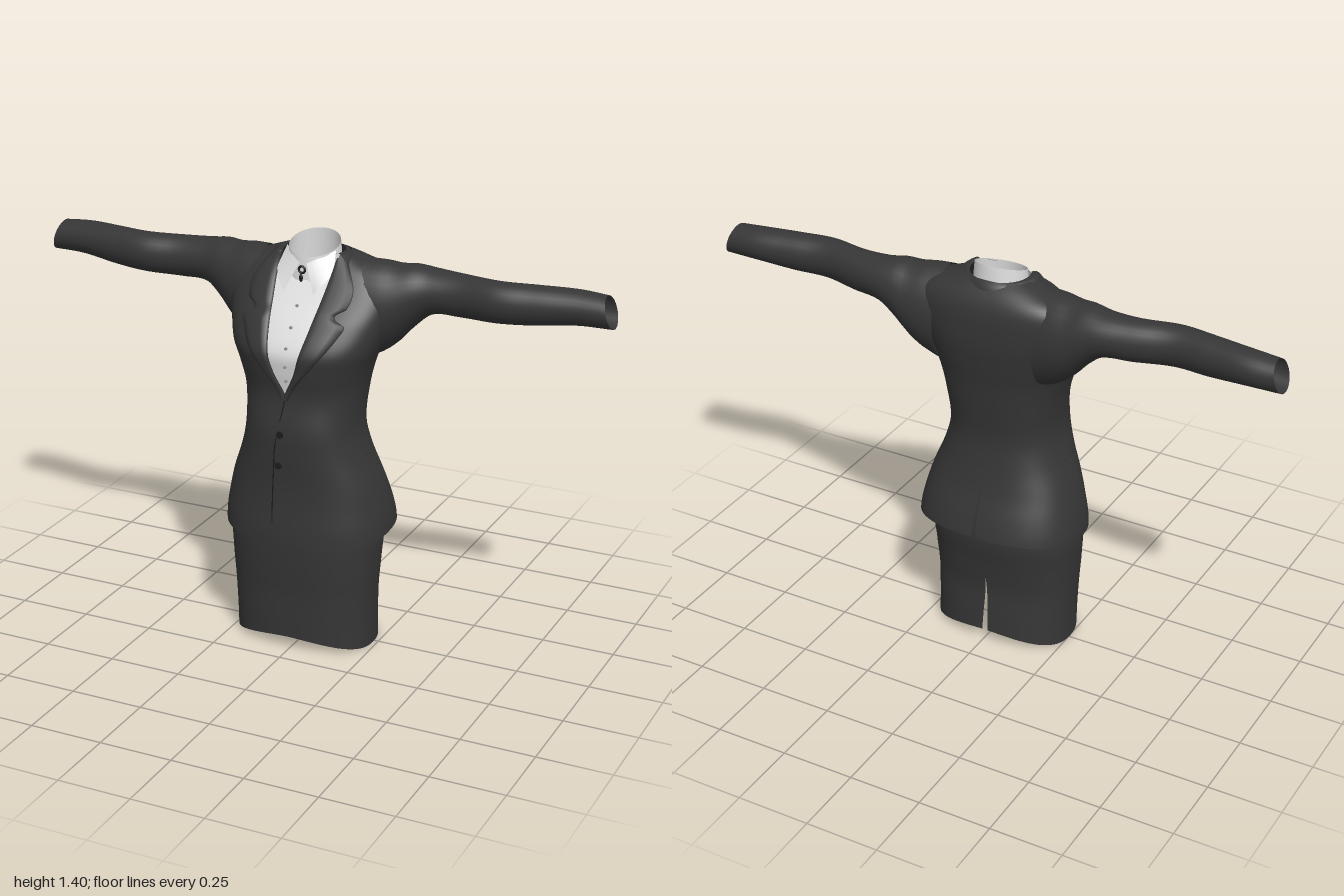
import * as THREE from 'three';

const mat = (name, color) => Object.assign(
  new THREE.MeshStandardMaterial({ color, side: THREE.DoubleSide }), { name });

// smooth interpolation through rows of [key, value, value, ...]
function sample(rows, t) {
  const last = rows.length - 1;
  t = Math.min(Math.max(t, rows[0][0]), rows[last][0]);
  let i = 0;
  while (i < last - 1 && t > rows[i + 1][0]) i++;
  const a = rows[i], b = rows[i + 1], h = b[0] - a[0], s = (t - a[0]) / h;
  const p = rows[Math.max(i - 1, 0)], q = rows[Math.min(i + 2, last)];
  return a.slice(1).map((v, k) => {
    const w = b[k + 1];
    const m0 = (w - p[k + 1]) / (b[0] - p[0]) * h, m1 = (q[k + 1] - v) / (q[0] - a[0]) * h;
    const s2 = s * s, s3 = s2 * s;
    return (2 * s3 - 3 * s2 + 1) * v + (s3 - 2 * s2 + s) * m0 + (3 * s2 - 2 * s3) * w + (s3 - s2) * m1;
  });
}

// surface from fn(u, v) -> [x, y, z]; wrap joins u = 1 to u = 0
function surface(nu, nv, fn, wrap = false) {
  const pos = [], idx = [], cols = wrap ? nu : nu + 1;
  for (let j = 0; j <= nv; j++)
    for (let i = 0; i < cols; i++) pos.push(...fn(i / nu, j / nv));
  for (let j = 0; j < nv; j++)
    for (let i = 0; i < nu; i++) {
      const a = j * cols + i, b = j * cols + (i + 1) % cols;
      idx.push(a, b, a + cols, b, b + cols, a + cols);
    }
  const g = new THREE.BufferGeometry();
  g.setAttribute('position', new THREE.Float32BufferAttribute(pos, 3));
  g.setIndex(idx);
  g.computeVertexNormals();
  return g;
}

const lerp = THREE.MathUtils.lerp;
const spow = (v, p) => Math.sign(v) * Math.abs(v) ** p;
const P = 0.82;

// torso rows: height, half width, front z, back z
const TORSO = [
  [0.38, 0.287, 0.215, -0.222], [0.45, 0.285, 0.213, -0.217], [0.52, 0.272, 0.207, -0.198],
  [0.6, 0.25, 0.205, -0.17], [0.7, 0.212, 0.211, -0.147], [0.79, 0.192, 0.214, -0.136],
  [0.91, 0.2, 0.197, -0.148], [1.0, 0.222, 0.21, -0.158], [1.06, 0.245, 0.213, -0.168],
  [1.14, 0.27, 0.168, -0.178], [1.21, 0.285, 0.115, -0.178], [1.265, 0.28, 0.075, -0.172],
  [1.3, 0.25, 0.05, -0.158], [1.33, 0.17, 0.03, -0.135], [1.35, 0.115, 0.02, -0.11]];
// half width of the neckline opening
const OPEN = [[0.9, 0], [0.92, 0.002], [1.0, 0.04], [1.1, 0.066], [1.2, 0.084], [1.3, 0.098], [1.35, 0.1]];
const SEAM = [[0.4, -0.06], [0.46, -0.045], [0.55, -0.045], [0.75, -0.03], [0.9, 0]];

function torsoPoint(y, a) {
  const [hw, zf, zb] = sample(TORSO, y), mid = (zf + zb) / 2;
  return [hw * spow(Math.sin(a), P), y, mid + (zf - mid) * spow(Math.cos(a), P)];
}
const angleAt = (x, y) =>
  Math.asin(spow(THREE.MathUtils.clamp(x / sample(TORSO, y)[0], -0.98, 0.98), 1 / P));
const onFront = (x, y, out = 0) => {
  const p = torsoPoint(y, angleAt(x, y));
  return [x, y + out * 0.3, p[2] + out];
};

// half of the jacket body, with cutaway front hem and back vent
function jacketHalf(s) {
  return surface(44, 64, (u, v) => {
    const f = 1 - (1 - v) ** 1.4, y0 = lerp(0.42, 1.35, f);
    const start = angleAt(sample(OPEN, y0)[0] + s * sample(SEAM, y0)[0], y0);
    const vent = 0.012 * Math.max(0, (0.66 - y0) / 0.24);
    const a = lerp(start, Math.PI - vent, u), x0 = s * 0.285 * Math.sin(a);
    const notch = Math.cos(a) > 0 ? 0.055 * Math.exp(-(((x0 + 0.045) / 0.05) ** 2)) : 0;
    const p = torsoPoint(y0 + (notch - 0.03 * Math.cos(a)) * (1 - f) ** 4, a);
    return [s * p[0], p[1], p[2]];
  });
}

// sleeve rows: x, top, bottom, front z, back z
const SLEEVE = [
  [0.18, 1.335, 1.0, 0.07, -0.16], [0.24, 1.333, 1.03, 0.06, -0.165], [0.29, 1.327, 1.07, 0.045, -0.163],
  [0.34, 1.33, 1.125, 0.025, -0.158], [0.4, 1.322, 1.172, 0.005, -0.15], [0.5, 1.318, 1.178, 0, -0.13],
  [0.63, 1.319, 1.184, 0.018, -0.103], [0.75, 1.319, 1.19, 0.003, -0.118],
  [0.88, 1.317, 1.204, -0.016, -0.136], [0.985, 1.31, 1.206, -0.024, -0.132]];
function sleeve(s) {
  return surface(28, 44, (u, v) => {
    const x = lerp(0.18, 0.985, v), a = u * Math.PI * 2;
    const [t, b, zf, zb] = sample(SLEEVE, x);
    return [s * (x - 0.015 * v ** 8 * Math.sin(a)), (t + b) / 2 + (t - b) / 2 * Math.sin(a),
      (zf + zb) / 2 + (zf - zb) / 2 * Math.cos(a)];
  }, true);
}

// outer edge of the notched lapel
const LAPEL = [[0.9, 0.008], [0.95, 0.035], [1.0, 0.075], [1.07, 0.13], [1.13, 0.168], [1.155, 0.176],
  [1.172, 0.145], [1.188, 0.142], [1.2, 0.168], [1.25, 0.178], [1.3, 0.155], [1.34, 0.125]];
function lapel(s) {
  const raise = [-0.004, 0.011, 0.012, 0.012, 0.012, 0.011, -0.002];
  return surface(6, 60, (u, v) => {
    const y = lerp(0.9, 1.34, v), i = Math.round(u * 6);
    const w = THREE.MathUtils.clamp((i - 1) / 4, 0, 1);
    const p = onFront(lerp(sample(OPEN, y)[0], sample(LAPEL, y)[0], w), y, raise[i]);
    return [s * p[0], p[1], p[2]];
  });
}

// skirt rows: height, half width, front z, back z
const SKIRT = [[0, 0.243, 0.175, -0.158], [0.1, 0.244, 0.178, -0.152], [0.2, 0.248, 0.18, -0.145],
  [0.3, 0.255, 0.187, -0.155], [0.42, 0.258, 0.19, -0.17], [0.6, 0.215, 0.175, -0.145]];
function skirt() {
  return surface(80, 36, (u, v) => {
    const y0 = 0.6 * v, gap = 0.022 * Math.max(0, 1 - y0 / 0.24);
    const a = lerp(Math.PI + gap, 3 * Math.PI - gap, u);
    const hem = 0.042 * (1 - Math.abs(Math.sin(a)) ** 1.5);
    const y = y0 + hem * (1 - v) ** 3;
    const [hw, zf, zb] = sample(SKIRT, y), mid = (zf + zb) / 2;
    return [hw * spow(Math.sin(a), P) - 0.008, y, mid + (zf - mid) * spow(Math.cos(a), P)];
  });
}

export function createModel() {
  const cloth = mat('charcoal cloth', 0x363636);
  const white = mat('shirt white', 0xdedede);
  const dark = mat('dark trim', 0x1c1c1c);
  const grey = mat('shirt button grey', 0x9a9a9a);
  const group = new THREE.Group();
  const add = (name, geo, m) => {
    const mesh = new THREE.Mesh(geo, m);
    mesh.name = name;
    group.add(mesh);
    return mesh;
  };
  const line = (name, pts, r, m) => add(name, new THREE.TubeGeometry(
    new THREE.CatmullRomCurve3(pts.map(p => new THREE.Vector3(...p))), 24, r, 5), m);
  const button = (name, x, y, r, out, m) => {
    const b = add(name, new THREE.CylinderGeometry(r, r, 0.006, 12), m);
    b.position.set(...onFront(x, y, out));
    b.rotation.x = Math.PI / 2;
  };

  add('skirt', skirt(), cloth);

  for (const [s, side] of [[1, 'left'], [-1, 'right']]) {
    add(side + 'JacketBody', jacketHalf(s), cloth);
    add(side + 'Sleeve', sleeve(s), cloth);
    add(side + 'Lapel', lapel(s), cloth);
    // pocket welt at the hip
    line(side + 'Pocket', [1.35, 1.5, 1.65].map((a, i) => {
      const p = torsoPoint(0.69 + (i === 1 ? 0.006 : 0), a);
      return [s * p[0], p[1], p[2]];
    }), 0.003, cloth);
    // pointed shirt collar leaf
    const c = [[0.012, 1.325, 0.064], [0.086, 1.36, 0], [0.052, 1.235, 0.1], [0.1, 1.295, 0.05]];
    add(side + 'CollarLeaf', surface(6, 6, (u, v) => {
      const p = [0, 1, 2].map(k => lerp(lerp(c[0][k], c[1][k], u), lerp(c[2][k], c[3][k], u), v));
      return [s * p[0], p[1], p[2] + 0.035 * u * (1 - u)];
    }), white);
  }

  // jacket collar folded around the back of the neck
  add('jacketCollar', surface(36, 6, (u, v) => {
    const a = lerp(1.15, 2 * Math.PI - 1.15, u), back = Math.max(0, -Math.cos(a));
    const w = lerp(0.1, 0.145, v), d = lerp(0.09, 0.125, v);
    const y = lerp(1.352, 1.325 - 0.04 * back, v) + 0.014 * Math.sin(v * Math.PI);
    return [w * Math.sin(a), y, -0.028 + d * Math.cos(a)];
  }), cloth);

  // front closing edge and jacket buttons
  line('frontEdge', [0.47, 0.55, 0.65, 0.75, 0.85, 0.91].map(y => onFront(sample(SEAM, y)[0], y, 0)), 0.002, dark);
  for (const [x, y] of [[-0.012, 0.785], [-0.02, 0.675]]) button('jacketButton', x, y, 0.012, 0.002, dark);

  // shirt front, placket and buttons
  add('shirtFront', surface(16, 30, (u, v) => {
    const y = lerp(0.88, 1.3, v);
    return onFront((2 * u - 1) * (sample(OPEN, y)[0] + 0.015), y, -0.012);
  }), white);
  add('placket', surface(4, 24, (u, v) => {
    const y = lerp(0.95, 1.28, v);
    return onFront(0.005 + (u - 0.5) * 0.026, y, -0.007);
  }), white);
  for (const y of [0.97, 1.02, 1.08, 1.14, 1.2]) button('shirtButton', 0.005, y, 0.005, -0.003, grey);

  // standing collar, higher at the back
  add('shirtCollarStand', surface(40, 5, (u, v) => {
    const a = u * Math.PI * 2, k = lerp(1.08, 0.97, v), z = -0.024 + 0.082 * k * Math.cos(a);
    return [0.088 * k * Math.sin(a), lerp(1.265, 1.362 - 0.34 * z, v), z];
  }, true), white);

  // small throat ornament
  const ring = add('throatRing', new THREE.TorusGeometry(0.011, 0.004, 6, 14), dark);
  ring.position.set(0, 1.305, 0.073);
  const drop = add('throatDrop', new THREE.SphereGeometry(0.008, 10, 8), dark);
  drop.scale.set(0.8, 1.7, 0.7);
  drop.position.set(0, 1.28, 0.08);

  return group;
}
